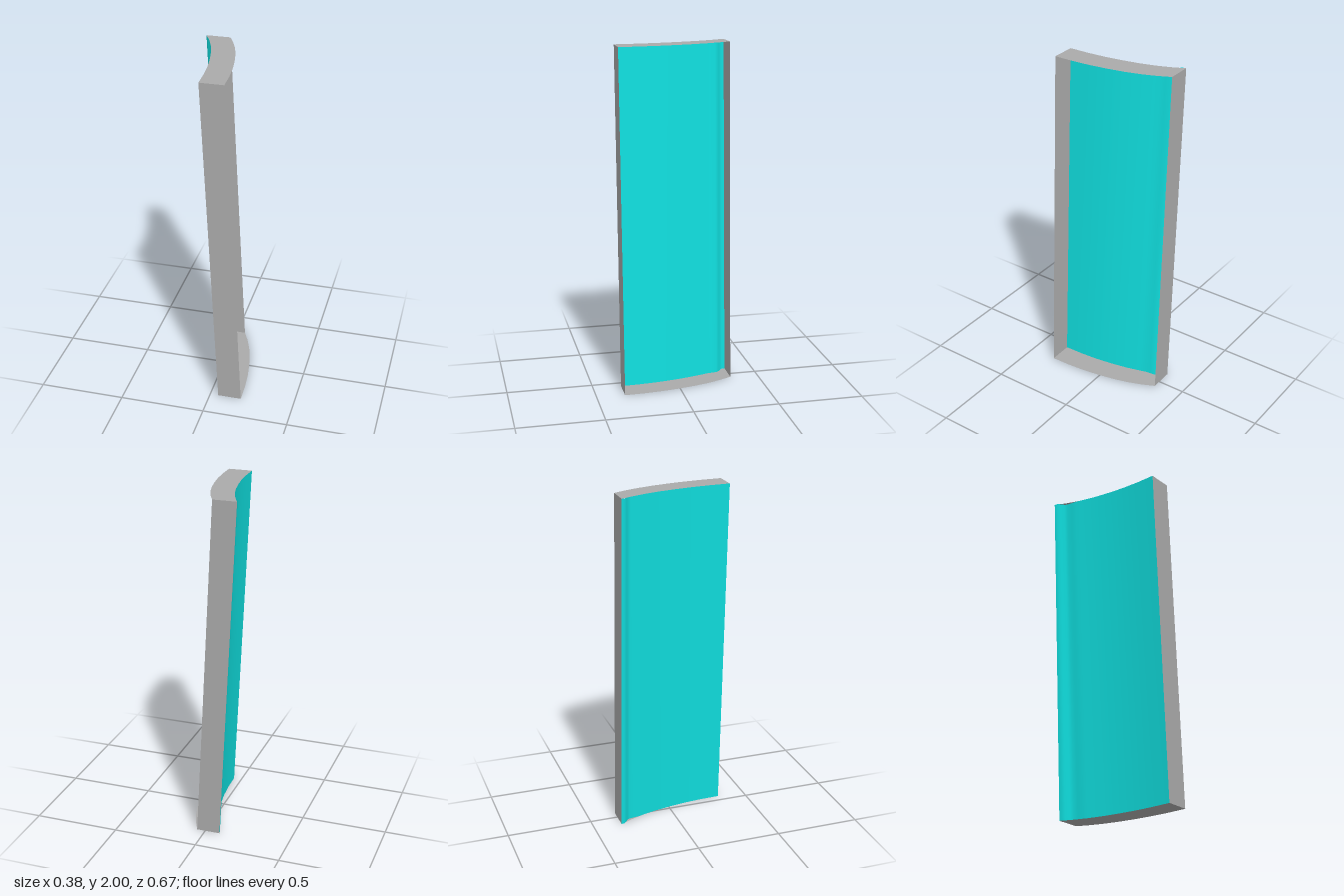
import * as THREE from 'three';

const HEIGHT = 2, HALF_Z = 0.334, DEPTH = 0.138, LEAN = 0.101;

// Plan curve of the panel: [z, x offset from the back corner]
const ARC = [[-0.334, 0], [-0.26, 0.035], [-0.18, 0.065], [-0.09, 0.09],
  [0.01, 0.11], [0.11, 0.125], [0.22, 0.134], [0.334, 0.137]];
// Same curve with a small rounded step near the back edge
const SKIN = [[-0.334, 0], [-0.316, 0.003], [-0.302, 0.015], [-0.286, 0.038], [-0.27, 0.048],
  [-0.24, 0.052], [-0.21, 0.056], ...ARC.slice(2)];

// Leaning position of a plan point at height y
const at = (offset, y, z) => [-0.189 + LEAN * (1 - y / HEIGHT) + offset, y, z];

// Surface strip between two equally long rows of points
function strip(rowA, rowB, material, name) {
  const position = [], index = [];
  rowA.forEach((a, i) => {
    position.push(...a, ...rowB[i]);
    if (i) {
      const k = 2 * i;
      index.push(k - 2, k - 1, k, k - 1, k + 1, k);
    }
  });
  const geometry = new THREE.BufferGeometry();
  geometry.setAttribute('position', new THREE.Float32BufferAttribute(position, 3));
  geometry.setIndex(index);
  geometry.computeVertexNormals();
  const mesh = new THREE.Mesh(geometry, material);
  mesh.name = name;
  return mesh;
}

export function createModel() {
  const group = new THREE.Group();
  group.name = 'curvedPanel';
  const grey = new THREE.MeshStandardMaterial({ color: 0xaaaaaa, side: THREE.DoubleSide });
  grey.name = 'rim grey';
  const cyan = new THREE.MeshStandardMaterial({ color: 0x10dede, side: THREE.DoubleSide });
  cyan.name = 'skin cyan';

  // Curved skin on the right side
  group.add(strip(
    SKIN.map(([z, x]) => at(x, 0, z)),
    SKIN.map(([z, x]) => at(x, HEIGHT, z)), cyan, 'skin'));

  // Top and bottom flanges
  for (const [name, y] of [['bottomFlange', 0], ['topFlange', HEIGHT]]) {
    group.add(strip(
      ARC.map(([z, x]) => at(x, y, z)),
      ARC.map(([z, x]) => at(x + DEPTH, y, z)), grey, name));
  }

  // Upright flanges at the back and front edges
  for (const [name, z, x] of [['backFlange', -HALF_Z, 0], ['frontFlange', HALF_Z, 0.137]]) {
    group.add(strip(
      [at(x, 0, z), at(x + DEPTH, 0, z)],
      [at(x, HEIGHT, z), at(x + DEPTH, HEIGHT, z)], grey, name));
  }
  return group;
}
